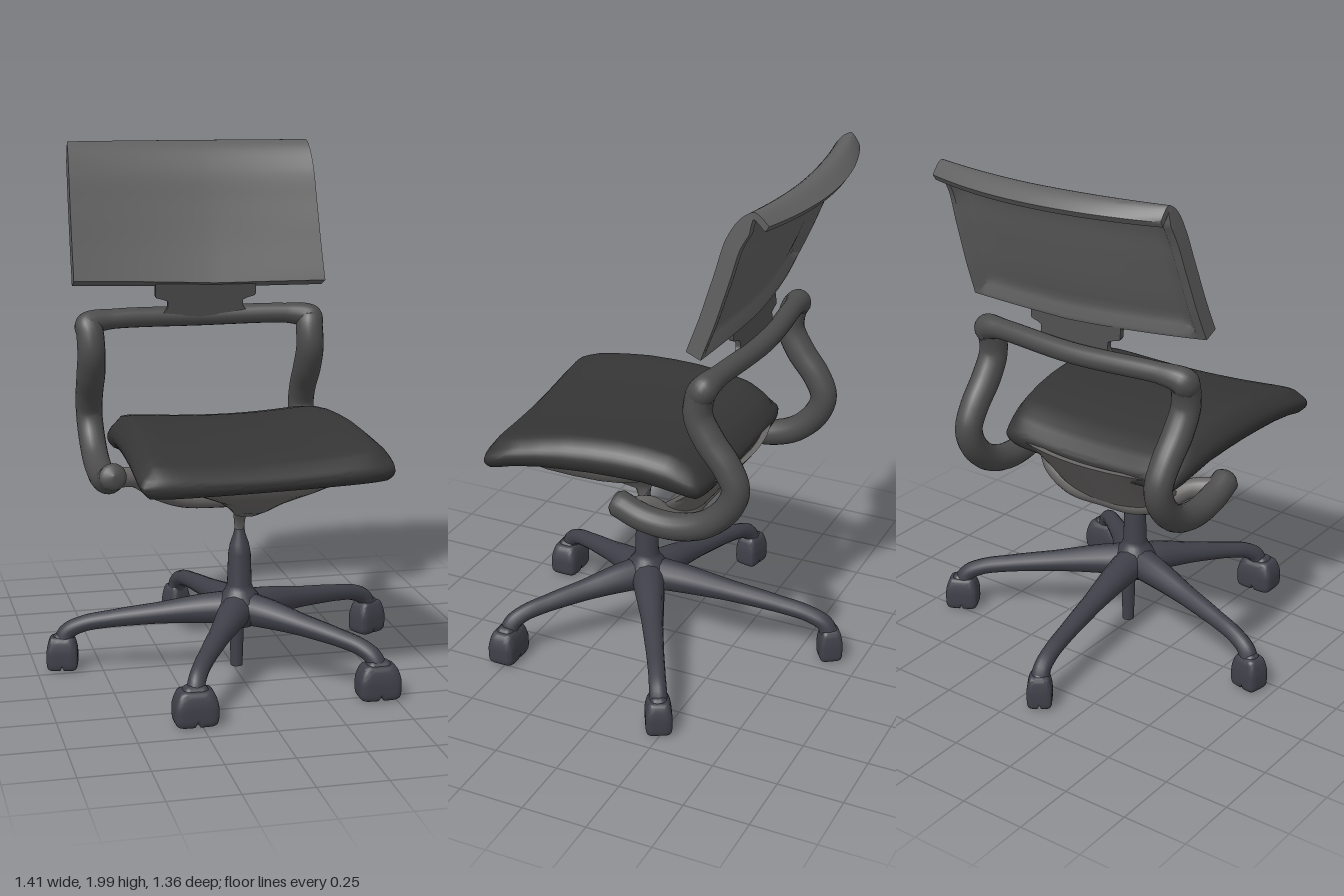
import * as THREE from 'three';
import { mergeVertices, toCreasedNormals } from 'three/addons/utils/BufferGeometryUtils.js';
import { RoundedBoxGeometry } from 'three/addons/geometries/RoundedBoxGeometry.js';

const paint = (color) => new THREE.MeshStandardMaterial({ color });
const fabric = paint(0x606060), cushion = paint(0x353536), frameMat = paint(0x4c4c4c);
const shellMat = paint(0x6a6867), baseMat = paint(0x40404a);
const { lerp, smoothstep } = THREE.MathUtils;
const V = (x, y, z) => new THREE.Vector3(x, y, z);

function add(parent, name, geometry, material) {
  const mesh = new THREE.Mesh(geometry, material);
  mesh.name = name;
  parent.add(mesh);
  return mesh;
}

// linear interpolation through evenly spaced values, t in 0..1
function sample(values, t) {
  const f = t * (values.length - 1);
  const i = Math.min(Math.floor(f), values.length - 2);
  return lerp(values[i], values[i + 1], f - i);
}

// subdivided box whose points (u, v, w in -1..1) are moved by a rule
function deformBox(nu, nv, nw, rule, crease = 0.9) {
  let geo = new THREE.BoxGeometry(2, 2, 2, nu, nv, nw);
  geo.deleteAttribute('uv');
  geo.deleteAttribute('normal');
  geo = mergeVertices(geo, 1e-4);
  const p = geo.attributes.position;
  for (let i = 0; i < p.count; i++) p.setXYZ(i, ...rule(p.getX(i), p.getY(i), p.getZ(i)));
  return toCreasedNormals(geo, crease);
}

// closed skin over a list of rings, each an array of Vector3
function skin(rings) {
  const n = rings[0].length, index = [];
  for (let r = 0; r < rings.length - 1; r++) {
    for (let k = 0; k < n; k++) {
      const a = r * n + k, b = r * n + (k + 1) % n;
      index.push(a, b, a + n, b, b + n, a + n);
    }
  }
  const geo = new THREE.BufferGeometry().setFromPoints(rings.flat());
  geo.setIndex(index);
  geo.computeVertexNormals();
  return geo;
}

// round bar along a spline, one radius per point, rounded ends
function sweep(points, radii, steps = 48, sides = 16) {
  const curve = new THREE.CatmullRomCurve3(points, false, 'centripetal');
  const rings = [];
  let normal = null;
  const ring = (c, T, r) => {
    const B = new THREE.Vector3().crossVectors(T, normal);
    rings.push(Array.from({ length: sides }, (_, k) => {
      const a = (k / sides) * Math.PI * 2;
      return c.clone().addScaledVector(normal, Math.cos(a) * r).addScaledVector(B, Math.sin(a) * r);
    }));
  };
  for (let i = 0; i <= steps; i++) {
    const t = i / steps, c = curve.getPoint(t), T = curve.getTangent(t), r = sample(radii, t);
    if (!normal) normal = Math.abs(T.y) < 0.8 ? V(0, 1, 0) : V(1, 0, 0);
    normal.addScaledVector(T, -normal.dot(T)).normalize();
    if (i === 0) for (const [o, s] of [[-0.5, 0], [-0.35, 0.7]]) ring(c.clone().addScaledVector(T, o * r), T, s * r);
    ring(c, T, r);
    if (i === steps) for (const [o, s] of [[0.35, 0.7], [0.5, 0]]) ring(c.clone().addScaledVector(T, o * r), T, s * r);
  }
  return skin(rings);
}

function buildBackrest(group) {
  // side profile (z, y): leaning panel that rolls backwards at the top
  const profile = new THREE.SplineCurve([[-0.262, 1.46], [-0.322, 1.6], [-0.377, 1.75], [-0.422, 1.88],
    [-0.475, 1.965], [-0.535, 1.993], [-0.6, 1.95]].map(([z, y]) => new THREE.Vector2(z, y)));
  const wrapRight = [0.06, 0.055, 0.045, 0.05, 0.095], wrapLeft = [0.015, 0.03, 0.04, 0.04, 0.065];
  add(group, 'backrest', deformBox(36, 36, 2, (u, v, w) => {
    const t = (v + 1) / 2, p = profile.getPoint(t), d = profile.getTangent(t);
    const rim = Math.max(smoothstep(Math.abs(u), 0.86, 0.95), smoothstep(-v, 0.86, 0.96)) * (1 - smoothstep(t, 0.6, 0.8));
    const thick = (1 - w) / 2 * (0.025 + 0.035 * rim);
    const wrap = u * u * sample(u < 0 ? wrapRight : wrapLeft, t);
    const x = u < 0 ? u * lerp(0.56, 0.535, t) : u * lerp(0.44, 0.415, t);
    const lift = (1 - t) * 0.03 * Math.max(0, -u);
    return [x, p.y + d.x * thick + lift, p.x - d.y * thick + wrap];
  }), fabric);

  // thin stepped plate joining backrest to frame
  add(group, 'backrestBracket', deformBox(12, 20, 2, (u, v, w) => {
    const half = 0.15 + 0.05 * smoothstep(v, -0.1, 0.15) + 0.03 * smoothstep(-v, 0.4, 0.9);
    return [-0.03 + u * half, 1.395 + v * 0.075, -0.302 + w * 0.01 + v * 0.01];
  }), frameMat);
}

function buildFrame(group) {
  // one bent bar: hook, S-shaped post, top rail, and down the other side
  const side = [[0.045, 0.785], [-0.06, 0.745], [-0.19, 0.738], [-0.31, 0.777], [-0.395, 0.86], [-0.42, 0.94],
    [-0.385, 1.02], [-0.315, 1.11], [-0.27, 1.2], [-0.278, 1.28]];
  const post = (bottom, top) => side.map(([z, y], i) => V(lerp(bottom, top, i / (side.length - 1)), y, z));
  const points = [...post(-0.46, -0.49), V(-0.494, 1.306, -0.293), V(-0.475, 1.316, -0.3), V(-0.4, 1.325, -0.312),
    V(-0.05, 1.322, -0.34), V(0.3, 1.325, -0.312), V(0.372, 1.316, -0.3), V(0.39, 1.306, -0.293),
    ...post(0.4, 0.385).reverse()];
  const half = [0.052, 0.052, 0.052, 0.052, 0.052, 0.052, 0.054, 0.056, 0.054, 0.053, 0.052, 0.048, 0.039];
  add(group, 'backFrame', sweep(points, [...half, 0.039, ...half.slice().reverse()], 160, 18), frameMat);
}

function buildSeat(group) {
  const top = [0.915, 0.97, 0.99, 1.0, 1.0, 0.995, 0.98, 0.96, 0.925];
  const bottom = [0.805, 0.825, 0.845, 0.85, 0.855, 0.855, 0.855, 0.845, 0.82];
  add(group, 'seatCushion', deformBox(32, 8, 36, (u, v, w) => {
    const t = (w + 1) / 2;
    const dome = Math.sqrt((1 - u ** 14) * (1 - w ** 18));
    // the underside is dished inside its rim
    const dish = 0.05 * (1 - u ** 8) * (1 - w ** 8) * (1 - v) / 2;
    const hi = sample(top, t) + 0.025 * u * u, lo = sample(bottom, t);
    const y = lerp(lo, hi, 0.47 + v * 0.5 * (0.55 + 0.45 * dome)) + dish;
    const bulge = 1 - 0.05 * v * v, corner = 1 - 0.04 * w ** 10;
    const x = u * bulge * corner * (u < 0 ? lerp(0.445, 0.47, t) : lerp(0.365, 0.495, t));
    const front = 0.625 - 0.04 * u - 0.02 * u ** 10;
    return [x, y, lerp(-0.27 + 0.02 * u ** 10, front, 0.5 + w * 0.5 * (1 - 0.03 * v * v))];
  }, 1.2), cushion);

  // funnel-shaped support: [y, half width, back z, front z]
  const sections = [[0.58, 0.017, 0.113, 0.147], [0.64, 0.022, 0.105, 0.165], [0.665, 0.045, 0.095, 0.28],
    [0.7, 0.075, 0.07, 0.37], [0.75, 0.14, 0.03, 0.46], [0.8, 0.26, -0.04, 0.55], [0.84, 0.37, -0.1, 0.59],
    [0.885, 0.38, -0.12, 0.59]];
  add(group, 'seatSupport', skin(sections.map(([y, hw, z0, z1]) => Array.from({ length: 32 }, (_, k) => {
    const a = (k / 32) * Math.PI * 2, c = Math.cos(a), s = Math.sin(a);
    const q = (n) => Math.sign(n) * Math.abs(n) ** 0.7;
    return V(0.005 + hw * q(c), y, (z0 + z1) / 2 - (z1 - z0) / 2 * q(s));
  }))), shellMat);

  // sagging cross bar between the hooks, with a curved panel up to the seat
  const sag = [[-0.46, 0.77, 0.0], [-0.36, 0.755, -0.04], [-0.27, 0.695, -0.08], [-0.16, 0.655, -0.1], [0, 0.647, -0.1],
    [0.14, 0.65, -0.1], [0.25, 0.69, -0.08], [0.32, 0.755, -0.04], [0.4, 0.77, 0.0]];
  add(group, 'crossBar', sweep(sag.map((p) => V(...p)), [0.04, 0.037, 0.04, 0.043, 0.043, 0.043, 0.04, 0.037, 0.04]), shellMat);
  add(group, 'rearPanel', deformBox(20, 8, 1, (u, v, w) => {
    const t = (v + 1) / 2;
    return [-0.03 + u * 0.3, lerp(0.63 + 0.1 * u ** 4, 0.865, t), lerp(-0.12, -0.3, t) + 0.05 * u * u + w * 0.012];
  }), shellMat);
}

function buildBase(group) {
  const cx = 0.008, cz = 0.12;
  const profile = [[0, 0.2], [0.055, 0.2], [0.09, 0.225], [0.1, 0.26], [0.085, 0.3], [0.055, 0.34], [0.047, 0.36],
    [0.043, 0.48], [0.036, 0.52], [0.022, 0.56], [0.016, 0.6], [0.016, 0.68], [0, 0.68]];
  const column = add(group, 'column', new THREE.LatheGeometry(profile.map((p) => new THREE.Vector2(...p)), 24), baseMat);
  column.position.set(cx, 0, cz);
  const spigot = add(group, 'columnSpigot', new THREE.CylinderGeometry(0.03, 0.023, 0.22, 16), baseMat);
  spigot.position.set(cx, 0.13, 0.075);

  // five legs: [x, z, caster width, caster depth, caster yaw]
  const casters = [[-0.65, -0.055, 0.12, 0.095, -0.2], [0.625, -0.225, 0.13, 0.1, 0.5], [-0.09, -0.625, 0.095, 0.09, 0.6],
    [0.44, 0.515, 0.16, 0.11, 0], [-0.27, 0.62, 0.16, 0.115, 0]];
  for (const [x, z, w, d, yaw] of casters) {
    const path = [[0, 0.268], [0.2, 0.26], [0.45, 0.24], [0.72, 0.215], [0.88, 0.193], [0.97, 0.16], [1, 0.11]];
    add(group, 'leg', sweep(path.map(([t, y]) => V(lerp(cx, x, t), y, lerp(cz, z, t))),
      [0.068, 0.058, 0.042, 0.034, 0.032, 0.033, 0.037], 32, 12), baseMat);
    // rounded caster narrowing towards the top, with a groove between its wheels
    const caster = new THREE.Group();
    caster.name = 'caster';
    caster.position.set(x, 0, z);
    caster.rotation.y = yaw;
    group.add(caster);
    add(caster, 'casterWheels', deformBox(14, 12, 12, (u, v, q) => {
      const round = 1 / (u ** 6 + v ** 6 + q ** 6) ** (1 / 6);
      const taper = 1 - 0.16 * smoothstep(v, 0, 1);
      const groove = Math.abs(u) < 0.1 && v < -0.5 ? 0.015 : 0;
      return [u * round * taper * w / 2, 0.077 + v * round * 0.067 + groove, q * round * taper * d / 2];
    }, 1), baseMat);
    const hood = add(caster, 'casterHood', new RoundedBoxGeometry(w * 0.6, 0.07, d * 0.65, 4, 0.026), baseMat);
    hood.position.y = 0.122;
  }
}

export function createModel() {
  const group = new THREE.Group();
  group.name = 'officeChair';
  buildBackrest(group);
  buildFrame(group);
  buildSeat(group);
  buildBase(group);
  return group;
}
